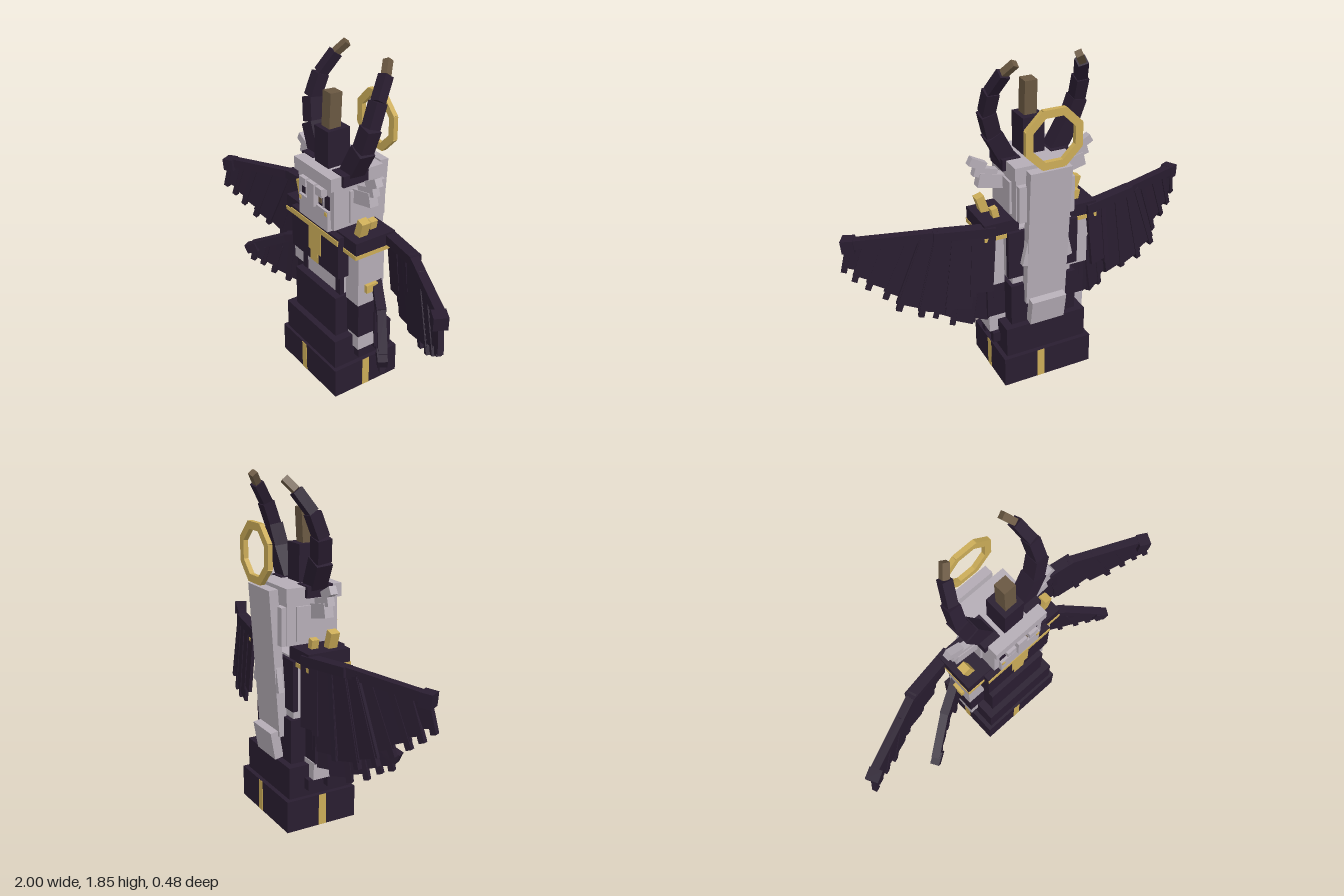
import * as THREE from 'three';

const mat = (name, color) => {
  const m = new THREE.MeshStandardMaterial({ color });
  m.name = name;
  return m;
};

export function createModel() {
  const root = new THREE.Group();
  root.name = 'wingedStatue';
  const dark = mat('darkPurple', 0x291d30);
  const grey = mat('paleGrey', 0xb5adb6);
  const gold = mat('gold', 0xcbac58);
  const brown = mat('hornBrown', 0x6a5842);

  // Axis-aligned block from its lower and upper limits
  const block = (name, m, x0, x1, y0, y1, z0, z1) => {
    const mesh = new THREE.Mesh(new THREE.BoxGeometry(Math.abs(x1 - x0), y1 - y0, z1 - z0), m);
    mesh.position.set((x0 + x1) / 2, (y0 + y1) / 2, (z0 + z1) / 2);
    mesh.name = name;
    root.add(mesh);
  };

  // Block running from a to b; its width lies along the side direction
  const beam = (name, m, a, b, width, depth, side = [1, 0, 0]) => {
    const A = new THREE.Vector3(...a), B = new THREE.Vector3(...b);
    const y = B.clone().sub(A);
    const mesh = new THREE.Mesh(new THREE.BoxGeometry(width, y.length(), depth), m);
    y.normalize();
    const x = new THREE.Vector3(...side);
    x.addScaledVector(y, -x.dot(y)).normalize();
    mesh.quaternion.setFromRotationMatrix(
      new THREE.Matrix4().makeBasis(x, y, new THREE.Vector3().crossVectors(x, y)));
    mesh.position.copy(A).add(B).multiplyScalar(0.5);
    mesh.name = name;
    root.add(mesh);
  };

  // Plinth and its gold stripes
  block('base', dark, -0.26, 0.26, 0.02, 0.195, -0.195, 0.215);
  block('baseStripeFront', gold, -0.065, -0.022, 0.021, 0.194, 0.212, 0.217);
  block('baseStripeBack', gold, 0.022, 0.065, 0.021, 0.194, -0.197, -0.192);
  block('baseStripeLeft', gold, 0.257, 0.262, 0.021, 0.194, -0.008, 0.036);
  block('baseStripeRight', gold, -0.262, -0.257, 0.021, 0.194, -0.008, 0.036);

  // Robe and chest
  block('lowerRobe', dark, -0.235, 0.235, 0.195, 0.37, -0.17, 0.2);
  block('upperRobe', dark, -0.19, 0.19, 0.37, 0.61, -0.135, 0.165);
  block('chest', grey, -0.17, 0.17, 0.61, 0.94, -0.11, 0.12);
  block('chestPlate', dark, -0.215, 0.215, 0.745, 0.985, 0.1, 0.165);
  block('collarBar', gold, -0.215, 0.215, 0.942, 0.972, 0.163, 0.17);
  block('chestEmblemUpper', gold, -0.05, 0.062, 0.805, 0.942, 0.163, 0.169);
  block('chestEmblemLower', gold, -0.033, 0.035, 0.747, 0.805, 0.163, 0.169);
  block('backPlate', dark, -0.2, 0.2, 0.66, 0.93, -0.13, -0.1);

  // Head and face
  block('head', grey, -0.16, 0.16, 1.0, 1.24, -0.14, 0.15);
  block('headTop', grey, -0.165, 0.165, 1.225, 1.295, -0.145, 0.172);
  block('jaw', grey, -0.13, 0.13, 0.985, 1.1, 0.05, 0.17);
  block('eyeBand', dark, -0.125, 0.125, 1.1, 1.175, 0.148, 0.155);
  block('nose', grey, -0.03, 0.03, 1.09, 1.17, 0.15, 0.185);
  block('browCentre', grey, -0.03, 0.03, 1.17, 1.215, 0.15, 0.185);

  // Central horn
  block('centreHorn', dark, -0.06, 0.06, 1.24, 1.49, -0.015, 0.115);
  beam('centreHornTip', brown, [0, 1.48, 0.056], [0, 1.67, 0.046], 0.068, 0.068);

  // Eight-sided halo
  const R = 0.133;
  for (let i = 0; i < 8; i++) {
    const a = i * Math.PI / 4;
    const h = new THREE.Mesh(new THREE.BoxGeometry(0.04, 0.122, 0.026), gold);
    h.position.set(Math.cos(a) * R, 1.457 + Math.sin(a) * R, -0.227);
    h.rotation.z = a;
    h.name = 'halo';
    root.add(h);
  }

  // Long hair falling down the back
  beam('backHair', grey, [0, 1.285, -0.192], [0, 0.5, -0.137], 0.23, 0.05);
  beam('hairEnd', grey, [0, 0.525, -0.182], [0, 0.375, -0.156], 0.2, 0.05);

  for (const s of [1, -1]) {
    const p = (x, y, z) => [s * x, y, z];
    const side = (name, m, x0, x1, ...r) => block(name, m, s * x0, s * x1, ...r);

    side('foot', dark, 0.01, 0.15, 0, 0.02, -0.07, 0.15);
    beam('hairStrand', grey, p(0.1, 0.88, -0.165), p(0.13, 0.75, -0.165), 0.03, 0.03);

    // Eyes, brows, cheeks and ears
    side('eye', brown, 0.035, 0.06, 1.115, 1.155, 0.153, 0.16);
    side('outerEye', grey, 0.074, 0.084, 1.1, 1.175, 0.153, 0.16);
    side('brow', grey, 0.045, 0.1, 1.17, 1.215, 0.15, 0.185);
    side('cheekMark', gold, 0.108, 0.126, 1.072, 1.092, 0.168, 0.174);
    side('sideHair', grey, 0.15, 0.172, 1.02, 1.2, -0.09, 0.06);
    side('rearHair', grey, 0.09, 0.155, 1.0, 1.2, -0.17, -0.13);
    beam('ear', grey, p(0.15, 1.165, 0.015), p(0.3, 1.2, 0.015), 0.075, 0.05, [0, 1, 0]);
    beam('earLower', grey, p(0.2, 1.215, 0.015), p(0.32, 1.25, 0.015), 0.05, 0.04, [0, 1, 0]);
    beam('earTip', grey, p(0.26, 1.265, 0.015), p(0.34, 1.308, 0.015), 0.044, 0.04, [0, 1, 0]);

    // Curved side horn in shrinking segments
    side('hornBase', dark, 0.085, 0.185, 1.24, 1.3, -0.04, 0.11);
    const horn = [p(0.13, 1.27, 0.03), p(0.215, 1.43, 0.018), p(0.247, 1.55, 0),
      p(0.24, 1.67, -0.045), p(0.205, 1.775, -0.115), p(0.165, 1.83, -0.157)];
    const widths = [0.09, 0.078, 0.066, 0.054, 0.036];
    widths.forEach((w, i) =>
      beam(i < 4 ? 'sideHorn' : 'sideHornTip', i < 4 ? dark : brown, horn[i], horn[i + 1], w, w));

    // Shoulder with gold trim and spikes
    side('shoulder', dark, 0.13, 0.32, 0.92, 0.995, -0.11, 0.13);
    side('shoulderTrim', gold, 0.2, 0.323, 0.903, 0.925, -0.115, 0.135);
    beam('shoulderSpike', gold, p(0.25, 0.98, 0.055), p(0.282, 1.083, 0.055), 0.045, 0.05);
    beam('shoulderSpikeSmall', gold, p(0.225, 0.98, -0.03), p(0.238, 1.045, -0.03), 0.035, 0.04);

    // Arm and hand
    side('upperArm', grey, 0.195, 0.3, 0.6, 0.905, -0.06, 0.1);
    side('armBand', gold, 0.29, 0.32, 0.675, 0.72, -0.01, 0.06);
    side('sleeve', dark, 0.19, 0.29, 0.39, 0.6, -0.05, 0.09);
    side('hand', grey, 0.19, 0.285, 0.3, 0.395, -0.055, 0.085);
    side('finger', dark, 0.2, 0.275, 0.24, 0.3, 0.035, 0.075);
    side('finger', dark, 0.2, 0.275, 0.24, 0.3, -0.08, -0.045);
    side('hipBlock', dark, 0.135, 0.175, 0.61, 0.72, 0.1, 0.125);

    // Broad feathers, each with a quill along its outer edge: root, tip, width
    const fan = (name, feathers, slope) => {
      for (const [x, y, z, tx, ty, tz, w] of feathers) {
        const o = w * 0.38;
        beam(name + 'Feather', dark, p(x, y, z), p(tx, ty, tz), w, 0.018, [s, 0, slope]);
        beam(name + 'Quill', dark, p(x + o, y, z + o * slope), p(tx + o, ty - 0.02, tz + o * slope),
          0.03, 0.028, [s, 0, slope]);
      }
    };

    // Upper wing: arm bones, then inner and outer feather fans
    beam('wingUpperArm', dark, p(0.26, 0.955, -0.095), p(0.57, 0.972, -0.04), 0.05, 0.06, [0, 1, 0]);
    beam('wingForearm', dark, p(0.54, 0.972, -0.045), p(0.96, 0.935, 0.13), 0.05, 0.045, [0, 1, 0]);
    beam('wingHand', dark, p(0.92, 0.93, 0.12), p(0.977, 0.925, 0.15), 0.07, 0.07, [0, 1, 0]);
    fan('innerWing', [
      [0.32, 0.95, -0.1, 0.35, 0.62, -0.115, 0.12],
      [0.41, 0.96, -0.08, 0.47, 0.53, -0.085, 0.14],
      [0.49, 0.96, -0.062, 0.6, 0.53, -0.045, 0.15],
      [0.56, 0.96, -0.04, 0.71, 0.58, -0.012, 0.14]], 0.23);
    fan('outerWing', [
      [0.62, 0.96, -0.012, 0.76, 0.63, 0.04, 0.13],
      [0.73, 0.95, 0.035, 0.84, 0.69, 0.075, 0.12],
      [0.83, 0.94, 0.075, 0.905, 0.74, 0.105, 0.1],
      [0.92, 0.93, 0.118, 0.955, 0.79, 0.14, 0.075]], 0.43);

    // Lower wing, swept forward
    beam('lowerWingArm', dark, p(0.28, 0.7, -0.03), p(0.45, 0.64, 0.065), 0.045, 0.05, [0, 1, 0]);
    beam('lowerWingForearm', dark, p(0.43, 0.645, 0.05), p(0.63, 0.535, 0.19), 0.045, 0.045, [0, 1, 0]);
    beam('lowerWingHand', dark, p(0.595, 0.54, 0.175), p(0.655, 0.51, 0.21), 0.055, 0.05, [0, 1, 0]);
    fan('lowerWing', [
      [0.3, 0.67, -0.015, 0.31, 0.37, -0.01, 0.12],
      [0.36, 0.65, 0.02, 0.41, 0.355, 0.03, 0.12],
      [0.43, 0.62, 0.06, 0.49, 0.39, 0.085, 0.11],
      [0.5, 0.585, 0.105, 0.545, 0.435, 0.13, 0.1],
      [0.58, 0.55, 0.16, 0.6, 0.46, 0.175, 0.07]], 0.6);
  }
  return root;
}
